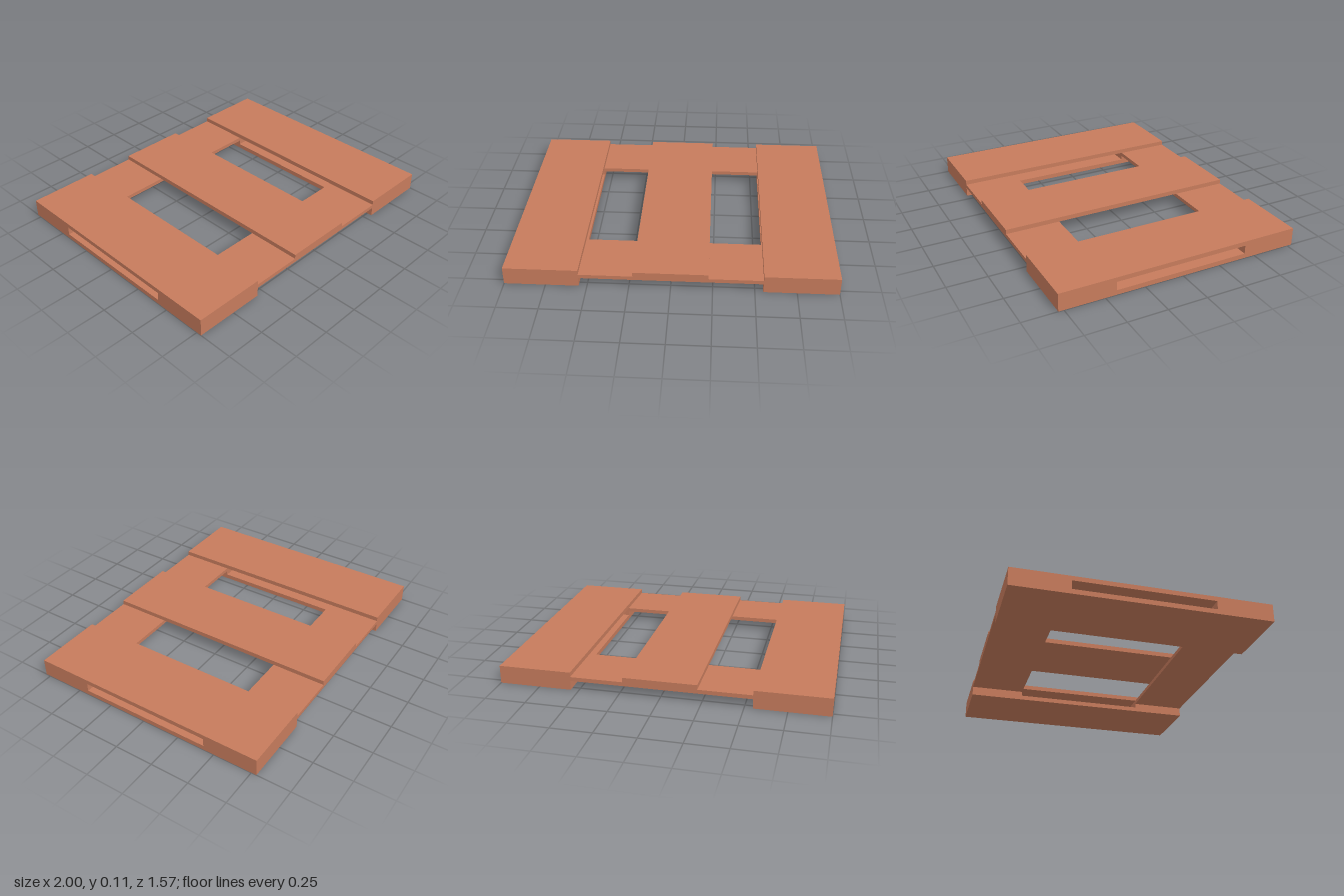
import * as THREE from 'three';

export function createModel() {
  const group = new THREE.Group();
  const wood = new THREE.MeshStandardMaterial({ color: 0xc67b5c });
  wood.name = 'terracotta wood';

  // layer heights, from the ground up
  const [y0, y1, y2, y3, y4] = [0, 0.03, 0.059, 0.084, 0.113];
  const boardWidth = 0.45, length = 1.566;
  const railDepth = 0.353, railZ = (length - railDepth) / 2;
  const outerX = 1 - boardWidth / 2;

  function slab(name, width, depth, bottom, top, x, z) {
    const mesh = new THREE.Mesh(new THREE.BoxGeometry(width, top - bottom, depth), wood);
    mesh.name = name;
    mesh.position.set(x, (bottom + top) / 2, z);
    group.add(mesh);
  }

  // three deck boards on top
  slab('deckBoardRight', boardWidth, length, y3, y4, -outerX, 0);
  slab('deckBoardMiddle', boardWidth, length, y3, y4, 0, 0);
  slab('deckBoardLeft', boardWidth, length, y3, y4, outerX, 0);

  for (const [end, z] of [['Front', railZ], ['Back', -railZ]]) {
    // cross rail under the deck
    slab('crossRail' + end, 2, railDepth, y2, y3, 0, z);
    // spacer blocks at the corners
    for (const [side, x] of [['Right', -outerX], ['Left', outerX]])
      slab('spacerBlock' + end + side, boardWidth, railDepth, y1, y2, x, z);
  }

  // runners on the ground
  slab('runnerRight', boardWidth, length, y0, y1, -outerX, 0);
  slab('runnerLeft', boardWidth, length, y0, y1, outerX, 0);

  return group;
}
